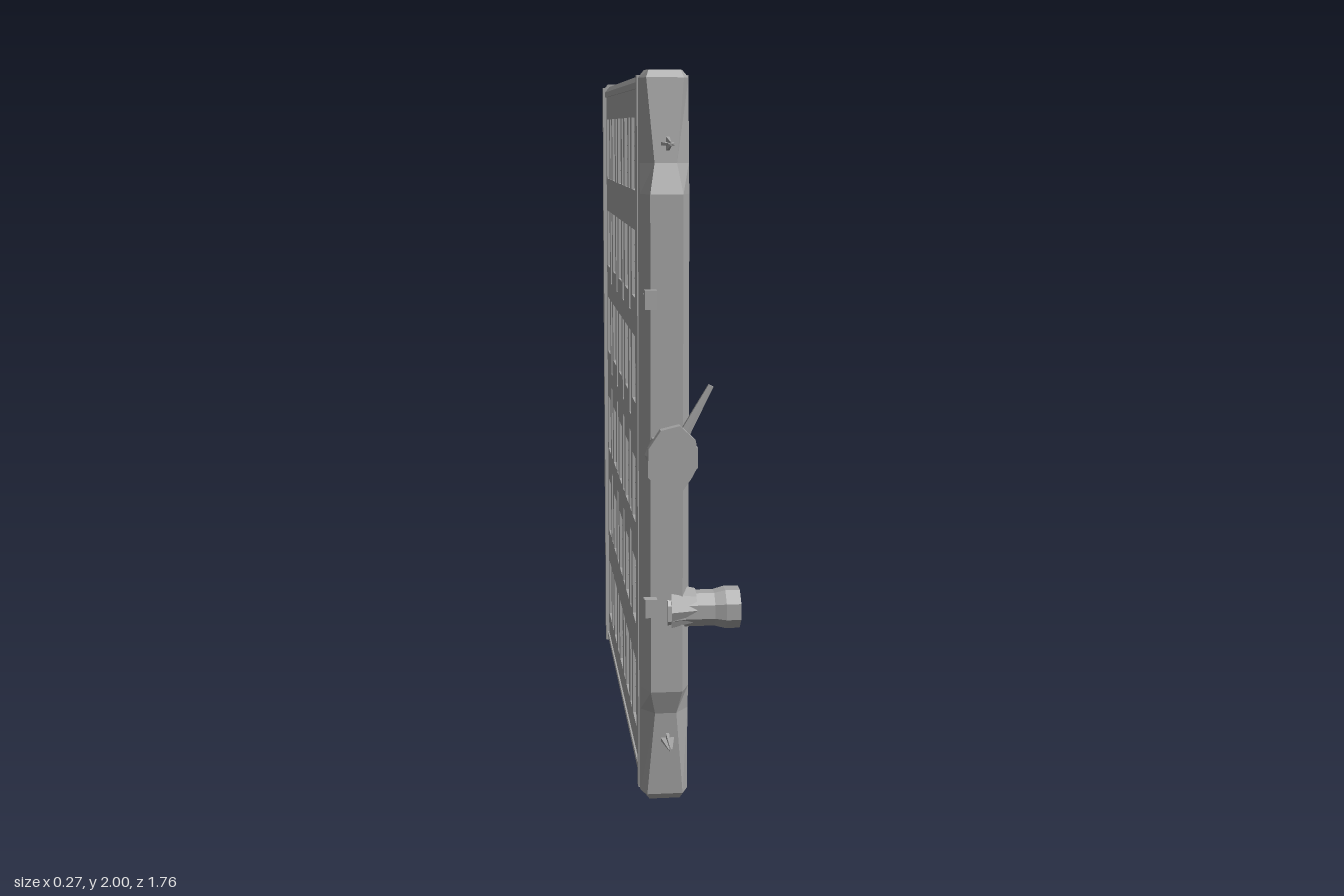
import * as THREE from 'three';
import { mergeGeometries } from 'three/addons/utils/BufferGeometryUtils.js';

const metal = new THREE.MeshStandardMaterial({ color: 0xa6a6a6, flatShading: true, side: THREE.DoubleSide });
metal.name = 'grey metal';

// Box given by its min and max along each axis
function box(x0, x1, y0, y1, z0, z1) {
  return new THREE.BoxGeometry(x1 - x0, y1 - y0, z1 - z0)
    .translate((x0 + x1) / 2, (y0 + y1) / 2, (z0 + z1) / 2);
}

// Closed loft through equal-length rings of [x, y, z], ordered upward
function loft(rings) {
  const n = rings[0].length, index = [];
  for (let r = 0; r < rings.length - 1; r++) {
    for (let i = 0; i < n; i++) {
      const a = r * n + i, b = r * n + (i + 1) % n;
      index.push(a, b, b + n, a, b + n, a + n);
    }
  }
  const top = (rings.length - 1) * n;
  for (let i = 1; i < n - 1; i++) {
    index.push(0, i + 1, i, top, top + i, top + i + 1);
  }
  const g = new THREE.BufferGeometry();
  g.setAttribute('position', new THREE.Float32BufferAttribute(rings.flat(2), 3));
  g.setIndex(index);
  g.computeVertexNormals();
  return g;
}

// Faceted tube along +x from a [radius, distance] profile
function pipe(profile) {
  return new THREE.LatheGeometry(profile.map(p => new THREE.Vector2(...p)), 8, Math.PI / 8)
    .rotateZ(-Math.PI / 2);
}

export function createModel() {
  const model = new THREE.Group();
  model.name = 'radiator';
  const add = (name, geometry, parent = model) => {
    const mesh = new THREE.Mesh(geometry, metal);
    mesh.name = name;
    parent.add(mesh);
    return mesh;
  };

  // Core limits
  const X0 = -0.125, X1 = -0.012, Z0 = -0.71, Z1 = 0.645;
  const core = new THREE.Group();
  core.name = 'core';
  model.add(core);

  // Solid horizontal bands
  const bands = [[0.02, 0.12], [0.32, 0.43], [0.67, 0.73], [0.97, 1.02],
    [1.27, 1.33], [1.57, 1.68], [1.88, 1.975]];
  add('bands', mergeGeometries(bands.map(([a, b]) => box(X0, X1, a, b, Z0, Z1))), core);

  // Upright bars at alternating spacing, and fillers in the wide columns
  const bars = [], fillers = [];
  for (let k = 0; k < 6; k++) {
    const z = 0.578 - 0.254 * k;
    bars.push(box(X0, X1, 0.1, 1.9, z - 0.022, z + 0.022));
    if (k === 5) break;
    bars.push(box(X0, X1, 0.1, 1.9, z - 0.122, z - 0.078));
    for (const [a, b] of [[0.62, 0.67], [0.92, 0.97], [1.02, 1.08], [1.33, 1.38]]) {
      fillers.push(box(X0, X1, a, b, z - 0.235, z - 0.12));
    }
  }
  add('uprightBars', mergeGeometries(bars), core);
  add('bandFillers', mergeGeometries(fillers), core);

  // Thin horizontal fins inside each window row
  const fins = [];
  for (let i = 0; i < bands.length - 1; i++) {
    const y0 = bands[i][1], y1 = bands[i + 1][0], count = 4;
    for (let j = 1; j <= count; j++) {
      const y = y0 + (y1 - y0) * j / (count + 1);
      fins.push(box(X0 + 0.008, X1 - 0.008, y - 0.0015, y + 0.0015, Z0, Z1));
    }
  }
  add('fins', mergeGeometries(fins), core);

  // Top and bottom rails with sloping ends
  const railRing = (y, inset, z0, z1) => [
    [X0 + inset, y, z0], [X0 + inset, y, z1], [X1 - inset, y, z1], [X1 - inset, y, z0]];
  add('topRail', loft([railRing(1.955, -0.005, -0.705, 0.64), railRing(1.972, -0.005, -0.69, 0.62),
    railRing(1.99, 0.008, -0.65, 0.575)]));
  add('bottomRail', loft([railRing(0.01, 0.008, -0.65, 0.575), railRing(0.028, -0.005, -0.69, 0.62),
    railRing(0.045, -0.005, -0.705, 0.64)]));

  // End tanks: [y, depth, side inset, face inset]
  const tankProfile = [[0, 0.068, 0.018, 0.025], [0.018, 0.08, 0.002, 0.018], [0.26, 0.098, 0.002, 0.038],
    [0.33, 0.125, 0.002, 0.024], [1.68, 0.125, 0.002, 0.024], [1.76, 0.098, 0.002, 0.038],
    [1.98, 0.08, 0.002, 0.018], [2, 0.068, 0.018, 0.025]];
  for (const [name, s, zIn] of [['frontTank', 1, 0.64], ['rearTank', -1, -0.712]]) {
    const rings = tankProfile.map(([y, d, a, b]) => {
      const zm = zIn + s * d * 0.55, zo = zIn + s * d;
      const ring = [[-0.135 + a, y, zIn], [-0.135 + a, y, zm], [-0.135 + b, y, zo],
        [-b, y, zo], [-a, y, zm], [-a, y, zIn]];
      return s > 0 ? ring : ring.reverse();
    });
    add(name, loft(rings));
    add(name + 'Flange', box(-0.136, 0.001, 0.012, 1.988, zIn - 0.014, zIn + 0.014));

    // Cross-shaped tapering locating pins
    for (const y of [0.183, 1.81]) {
      const zRoot = zIn + s * 0.075, length = 0.096;
      for (const turn of [0, Math.PI / 2]) {
        const fin = new THREE.CylinderGeometry(0.008, 0.03, length, 4, 1)
          .rotateY(Math.PI / 4).scale(1, 1, 0.25)
          .rotateY(turn).rotateX(s * Math.PI / 2)
          .translate(-0.062, y, zRoot + s * length / 2);
        add('locatingPin', fin);
      }
    }
  }

  // Small hooks on the front tank
  for (const y of [0.585, 1.41]) {
    add('hookArm', box(-0.13, -0.1, y - 0.018, y + 0.012, 0.75, 0.815));
    add('hookTip', box(-0.132, -0.1, y - 0.022, y + 0.028, 0.808, 0.835));
  }

  // Filler neck, cap and support rib
  const neck = new THREE.Group();
  neck.name = 'fillerNeck';
  neck.position.set(-0.065, 1, 0);
  model.add(neck);
  add('neckTube', new THREE.CylinderGeometry(0.05, 0.05, 0.15, 8).rotateX(Math.PI / 2).translate(0, 0, 0.8), neck);
  const cap = new THREE.Shape([[-0.062, 0.03], [-0.064, -0.045], [-0.035, -0.07], [0.02, -0.093], [0.05, -0.05],
    [0.066, -0.02], [0.062, 0.05], [0.02, 0.09], [-0.03, 0.078]].map(p => new THREE.Vector2(...p)));
  add('neckCap', new THREE.ExtrudeGeometry(cap, { depth: 0.028, bevelEnabled: false }).translate(0, 0, 0.852), neck);
  add('neckCollar', new THREE.CylinderGeometry(0.06, 0.066, 0.02, 8).rotateX(Math.PI / 2).translate(0, 0, 0.815), neck);
  add('neckRib', box(0.02, 0.07, -0.027, 0.027, 0.65, 0.86), neck);

  // Slanted overflow spout beside the neck
  const spout = add('overflowSpout', new THREE.CylinderGeometry(0.008, 0.018, 0.2, 6));
  spout.position.set(-0.005, 1.098, 0.82);
  spout.rotation.z = -0.5;

  // Hollow hose connections
  const hose = [[0.001, 0.02], [0.045, 0.02], [0.045, 0.2], [0.058, 0.2], [0.058, 0.16], [0.05, 0.13],
    [0.05, 0.05], [0.058, 0], [0.001, 0]].reverse();
  add('frontHosePipe', pipe(hose)).position.set(-0.065, 0.555, 0.725);
  add('rearHosePipe', pipe(hose)).position.set(-0.065, 0.385, -0.822);

  // Sloping collar where the front pipe meets its tank
  add('frontPipeCollar', new THREE.CylinderGeometry(0.05, 0.066, 0.07, 8)
    .rotateZ(-Math.PI / 2).translate(-0.02, 0.56, 0.722));

  return model;
}
